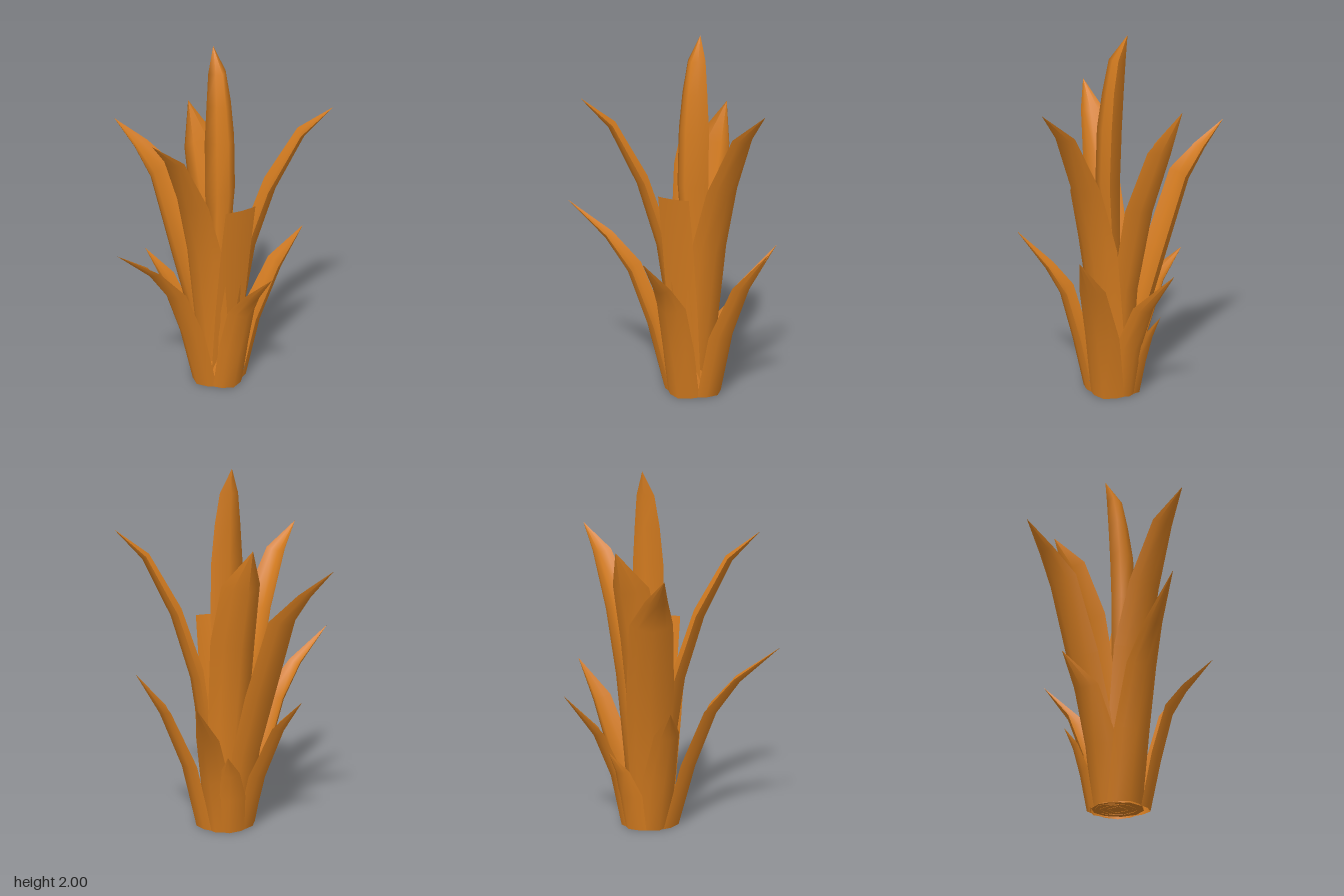
import * as THREE from 'three';

const CX = 0.085; // the plant's axis sits a little off centre

const leafMaterial = new THREE.MeshStandardMaterial({ color: 0xd67d20, side: THREE.DoubleSide });
leafMaterial.name = 'amber leaf';

// Surface through a grid of rows, each row having the same number of points
function loft(rows) {
  const n = rows[0].length, index = [];
  for (let i = 0; i < rows.length - 1; i++) {
    for (let j = 0; j < n - 1; j++) {
      const a = i * n + j, b = a + 1, c = a + n, d = c + 1;
      index.push(a, c, b, b, c, d);
    }
  }
  const geometry = new THREE.BufferGeometry();
  geometry.setAttribute('position', new THREE.Float32BufferAttribute(rows.flat(2), 3));
  geometry.setIndex(index);
  geometry.computeVertexNormals();
  return geometry;
}

// Cupped blade: stations are [radius, height, half width, sideways shift];
// the edges lift towards the axis
function leaf(name, degrees, stations, cup = 0.7) {
  const a = THREE.MathUtils.degToRad(degrees);
  const dx = Math.cos(a), dz = Math.sin(a);
  const rows = stations.map(([r, y, w, shift = 0], i) => {
    const p = stations[Math.max(i - 1, 0)];
    const q = stations[Math.min(i + 1, stations.length - 1)];
    const length = Math.hypot(q[0] - p[0], q[1] - p[1]);
    // inward normal of the spine; the bottom row stays level
    const nr = -(q[1] - p[1]) / length;
    const ny = i === 0 ? 0 : (q[0] - p[0]) / length;
    return [-1, -0.65, 0, 0.65, 1].map((s) => {
      const lift = cup * w * s * s;
      const rr = r + nr * lift, side = w * s + shift;
      return [CX + dx * rr - dz * side, y + ny * lift, dz * rr + dx * side];
    });
  });
  const mesh = new THREE.Mesh(loft(rows), leafMaterial);
  mesh.name = name;
  return mesh;
}

// Closed central spear, diamond in section: [height, half width, front z, side z, back z]
function spear() {
  const sections = [
    [0, 0.06, 0.06, 0, -0.05], [0.9, 0.075, 0.07, 0, -0.03], [1.2, 0.095, 0.105, 0.01, -0.03],
    [1.5, 0.092, 0.095, 0, -0.04], [1.7, 0.075, 0.065, -0.01, -0.05],
    [1.87, 0.053, 0.03, -0.03, -0.06], [2, 0, -0.07, -0.07, -0.07],
  ];
  const rows = sections.map(([y, w, front, side, back]) => [
    [CX + w, y, side], [CX + w * 0.55, y, side + (front - side) * 0.6],
    [CX, y, front], [CX - w * 0.55, y, side + (front - side) * 0.6],
    [CX - w, y, side], [CX, y, back], [CX + w, y, side],
  ]);
  const mesh = new THREE.Mesh(loft(rows), leafMaterial);
  mesh.name = 'centralSpear';
  return mesh;
}

export function createModel() {
  const group = new THREE.Group();
  group.name = 'plant';
  group.add(spear());

  // Tall inner leaves, the two front ones mirrored
  const tall = [[0.1, 0, 0.1], [0.14, 0.4, 0.115], [0.205, 0.85, 0.12], [0.31, 1.2, 0.1], [0.46, 1.51, 0.065], [0.61, 1.67, 0]];
  group.add(leaf('upperRightLeaf', 153.6, tall, 0.55));
  group.add(leaf('upperLeftLeaf', 26.4, tall, 0.55));
  group.add(leaf('upperBackLeaf', -88,
    [[0.09, 0, 0.09], [0.13, 0.6, 0.12], [0.21, 1.05, 0.13], [0.305, 1.37, 0.11], [0.365, 1.6, 0]], 1));
  group.add(leaf('upperBackRightLeaf', -118,
    [[0.12, 0, 0.09], [0.2, 0.45, 0.12], [0.3, 0.78, 0.13], [0.43, 1.2, 0.115], [0.53, 1.35, 0.06, -0.02], [0.657, 1.5, 0, -0.053]], 0.6));

  // Blunt front leaf with a cut-off top
  group.add(leaf('bluntFrontLeaf', 90,
    [[0.08, 0, 0.09], [0.135, 0.5, 0.095], [0.195, 0.93, 0.095], [0.235, 1.17, 0.093]], 0.1));

  // Short outer leaves
  group.add(leaf('lowerFrontLeaf', 90,
    [[0.18, 0, 0.1], [0.24, 0.28, 0.1], [0.31, 0.55, 0.09], [0.39, 0.69, 0.055], [0.55, 0.9, 0]]));
  group.add(leaf('lowerRightLeaf', 166.4,
    [[0.175, 0, 0.1], [0.27, 0.36, 0.1], [0.385, 0.67, 0.085], [0.515, 0.855, 0.05], [0.735, 1.06, 0]]));
  group.add(leaf('lowerLeftLeaf', 11.3,
    [[0.18, 0, 0.1], [0.26, 0.36, 0.1], [0.38, 0.67, 0.075], [0.51, 0.9, 0]]));
  group.add(leaf('lowerBackLeftLeaf', -40,
    [[0.16, 0, 0.085], [0.22, 0.3, 0.09], [0.32, 0.55, 0.07, -0.02], [0.495, 0.8, 0, -0.068]]));
  group.add(leaf('lowerBackRightLeaf', -139,
    [[0.15, 0, 0.1], [0.22, 0.3, 0.1], [0.33, 0.58, 0.075, 0.015], [0.443, 0.76, 0, 0.065]]));
  group.add(leaf('smallBackLeaf', -70,
    [[0.16, 0, 0.1], [0.2, 0.2, 0.09], [0.24, 0.35, 0.055], [0.295, 0.48, 0, 0.015]]));

  // Stem core closing the foot of the rosette
  const core = new THREE.Mesh(new THREE.CylinderGeometry(0.1, 0.14, 0.2, 10), leafMaterial);
  core.name = 'stemCore';
  core.position.set(CX, 0.102, 0.005);
  group.add(core);
  return group;
}
